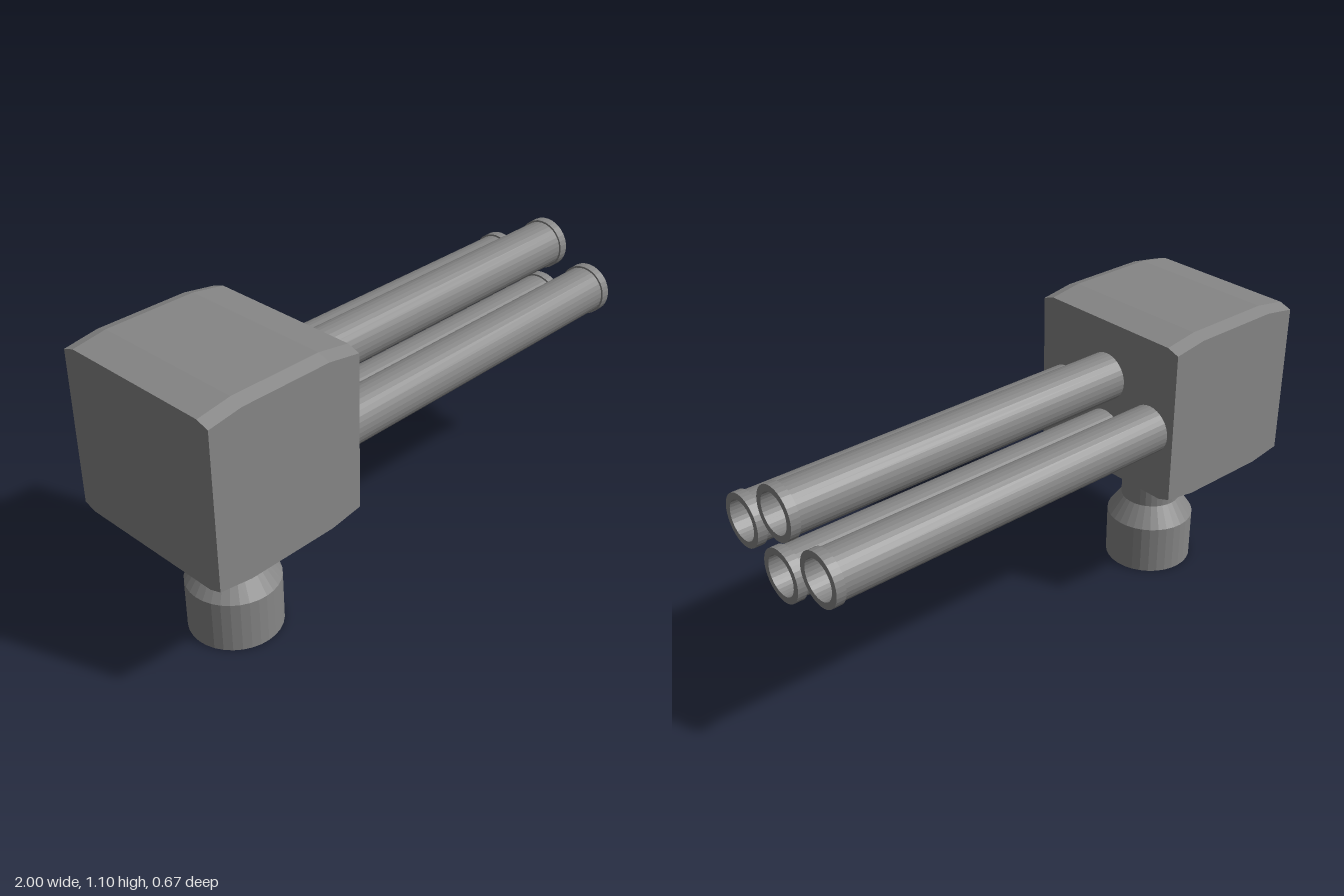
import * as THREE from 'three';

const SIDES = 32;
const material = new THREE.MeshStandardMaterial({ color: 0x868686, flatShading: true });

function lathe(profile) {
  return new THREE.LatheGeometry(profile.map(([r, y]) => new THREE.Vector2(r, y)), SIDES);
}

// Box whose top and bottom fall away slightly towards all four edges
function housingGeometry() {
  const halfX = 0.2985, halfY = 0.321, halfZ = 0.335;
  const geometry = new THREE.BoxGeometry(2, 2, 2, 3, 1, 3);
  const p = geometry.attributes.position;
  for (let i = 0; i < p.count; i++) {
    const x = p.getX(i), y = p.getY(i), z = p.getZ(i);
    const edgeX = Math.abs(x) > 0.9, edgeZ = Math.abs(z) > 0.9;
    const drop = (edgeX ? 0.02 : 0) + (edgeZ ? 0.016 : 0);
    p.setXYZ(
      i,
      Math.sign(x) * (edgeX ? halfX : 0.173),
      Math.sign(y) * (halfY - drop),
      Math.sign(z) * (edgeZ ? halfZ : 0.288)
    );
  }
  geometry.computeVertexNormals();
  return geometry;
}

export function createModel() {
  const model = new THREE.Group();
  const add = (name, geometry, x, y, z) => {
    const mesh = new THREE.Mesh(geometry, material);
    mesh.name = name;
    mesh.position.set(x, y, z);
    model.add(mesh);
  };

  // Stepped post
  add('pedestal', lathe([
    [0, 0], [0.168, 0], [0.168, 0.193], [0.115, 0.27], [0.115, 0.48], [0, 0.48],
  ]), -0.677, 0, 0);

  add('housing', housingGeometry(), -0.7015, 0.7825, 0);

  // Hollow barrels with a raised muzzle rim, pointing along +x
  const barrel = lathe([
    [0.089, 0], [0.089, 1.37], [0.096, 1.37], [0.096, 1.405],
    [0.072, 1.405], [0.072, 0],
  ]).rotateZ(-Math.PI / 2);
  const barrels = [
    ['upperBarrel', 0.872, 0],
    ['lowerBarrel', 0.642, 0],
    ['frontBarrel', 0.745, 0.21],
    ['backBarrel', 0.745, -0.221],
  ];
  for (const [name, y, z] of barrels) add(name, barrel, -0.405, y, z);

  return model;
}
